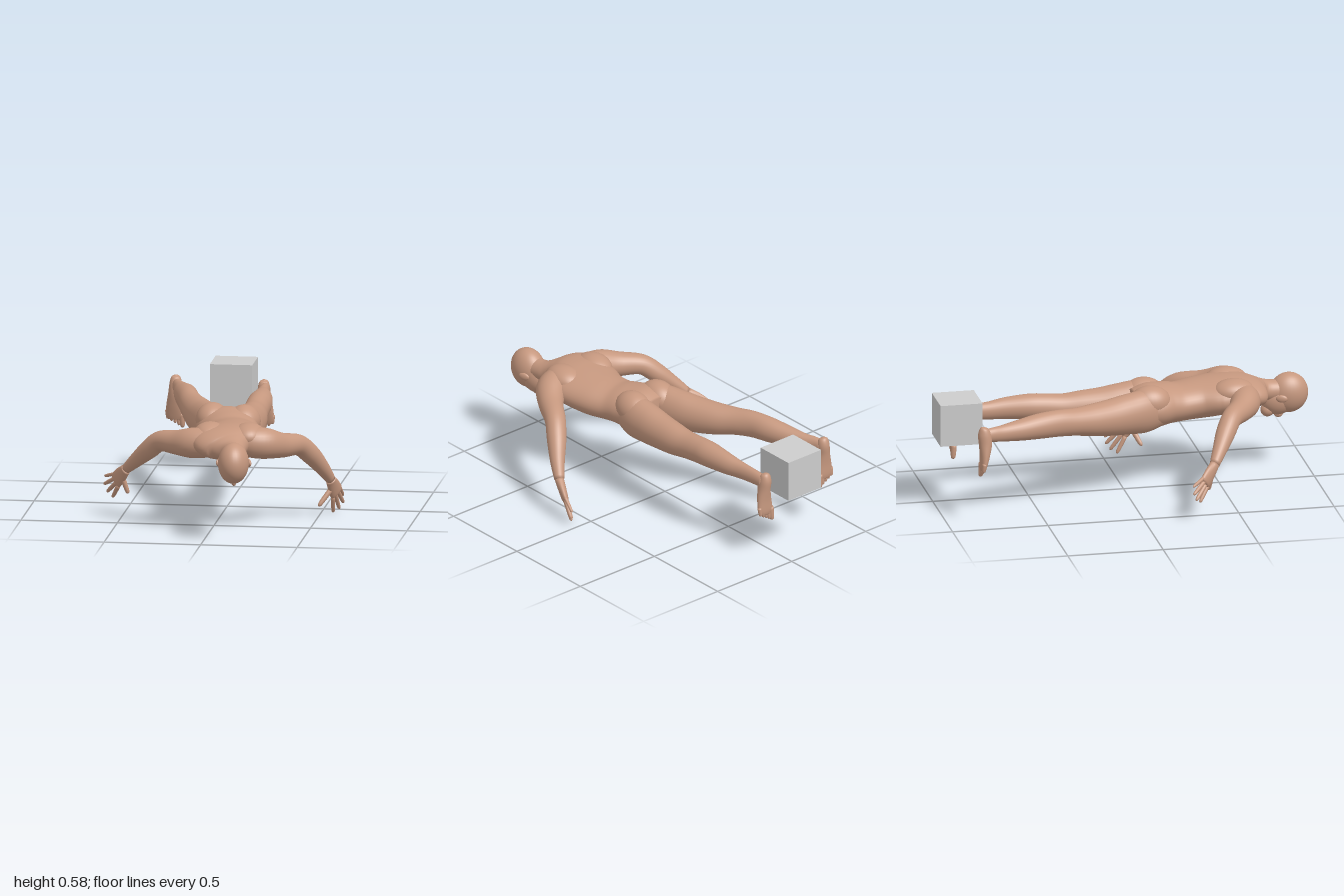
import * as THREE from 'three';

const skin = new THREE.MeshStandardMaterial({ color: 0xc6987f });
skin.name = 'skin';
const grey = new THREE.MeshStandardMaterial({ color: 0xcccccc });
grey.name = 'grey';

const V = (a) => new THREE.Vector3(...a);

// Smooth closed body through oval sections [x, y, z, radiusA, radiusB];
// radiusA lies along the given side direction.
function loft(sections, side = [1, 0, 0], sides = 28, steps = 6) {
  const centres = new THREE.CatmullRomCurve3(sections.map((s) => V(s.slice(0, 3))), false, 'catmullrom');
  const radii = new THREE.CatmullRomCurve3(
    sections.map((s) => V([s[3], s[4] ?? s[3], 0])), false, 'catmullrom');
  const rows = (sections.length - 1) * steps;
  const pos = [], index = [];
  for (let i = 0; i <= rows; i++) {
    const c = centres.getPoint(i / rows), r = radii.getPoint(i / rows);
    const t = centres.getTangent(i / rows);
    const b = new THREE.Vector3().crossVectors(t, V(side)).normalize();
    const a = new THREE.Vector3().crossVectors(b, t);
    for (let j = 0; j < sides; j++) {
      const q = (j / sides) * Math.PI * 2;
      const p = c.clone().addScaledVector(a, Math.cos(q) * r.x).addScaledVector(b, Math.sin(q) * r.y);
      pos.push(p.x, p.y, p.z);
    }
  }
  for (let i = 0; i < rows; i++) {
    for (let j = 0; j < sides; j++) {
      const k = (j + 1) % sides, m = i * sides, n = m + sides;
      index.push(m + j, m + k, n + j, m + k, n + k, n + j);
    }
  }
  // End caps
  const last = rows * sides, start = pos.length / 3;
  pos.push(...sections[0].slice(0, 3), ...sections.at(-1).slice(0, 3));
  for (let j = 0; j < sides; j++) {
    const k = (j + 1) % sides;
    index.push(start, k, j, start + 1, last + j, last + k);
  }
  const g = new THREE.BufferGeometry();
  g.setAttribute('position', new THREE.Float32BufferAttribute(pos, 3));
  g.setIndex(index);
  g.computeVertexNormals();
  return g;
}

function add(parent, name, geometry, material = skin) {
  const mesh = new THREE.Mesh(geometry, material);
  mesh.name = name;
  parent.add(mesh);
  return mesh;
}

function ellipsoid(parent, name, centre, radii) {
  const mesh = add(parent, name, new THREE.SphereGeometry(1, 32, 24));
  mesh.position.set(...centre);
  mesh.scale.set(...radii);
  return mesh;
}

// Slim digit with a rounded tip
function digit(parent, name, from, to, r, side) {
  const at = (t) => V(from).lerp(V(to), t).toArray();
  add(parent, name, loft([
    [...at(0), r], [...at(0.5), r * 0.95], [...at(0.85), r * 0.8], [...at(0.96), r * 0.5], [...at(1), 0.001],
  ], side, 10, 3));
}

// Palm, four fingers and a thumb; tips run from index to little finger
function hand(parent, name, wrist, knuckle, across, tips, thumbTip) {
  const g = new THREE.Group();
  g.name = name;
  parent.add(g);
  const mid = V(wrist).lerp(V(knuckle), 0.5).toArray();
  const end = V(wrist).lerp(V(knuckle), 1.12).toArray();
  add(g, 'palm', loft([
    [...wrist, 0.027, 0.024], [...mid, 0.04, 0.021], [...knuckle, 0.044, 0.017], [...end, 0.03, 0.008],
  ], across, 18, 5));
  const dir = V(across).normalize();
  tips.forEach((tip, i) => {
    const base = V(knuckle).addScaledVector(dir, -0.033 + i * 0.022).toArray();
    digit(g, 'finger', base, tip, i === 3 ? 0.0095 : 0.0115, across);
  });
  const root = V(mid).addScaledVector(dir, -0.02).toArray();
  digit(g, 'thumb', root, thumbTip, 0.014, across);
}

// Foot hanging down, sole to the rear; inner = x direction of the big toe
function foot(parent, name, x, y, z, inner) {
  const g = new THREE.Group();
  g.name = name;
  parent.add(g);
  const out = -inner;
  add(g, 'footBody', loft([
    [x, y + 0.042, z - 0.004, 0.006, 0.006],
    [x, y + 0.032, z - 0.005, 0.023, 0.022],
    [x, y, z - 0.002, 0.032, 0.034],
    [x + out * 0.004, y - 0.05, z + 0.002, 0.034, 0.034],
    [x + out * 0.006, y - 0.11, z - 0.002, 0.042, 0.026],
    [x + out * 0.006, y - 0.165, z - 0.01, 0.046, 0.018],
    [x + out * 0.006, y - 0.19, z - 0.012, 0.036, 0.012],
  ], [1, 0, 0], 24, 5));
  for (let i = 0; i < 5; i++) {
    const tx = x + out * 0.006 + inner * (0.036 - i * 0.019);
    digit(g, 'toe', [tx, y - 0.16 + i * 0.004, z - 0.011],
      [tx + inner * 0.004, y - 0.235 + i * 0.011, z - 0.016], i ? 0.0105 : 0.015, [1, 0, 0]);
  }
}

export function createModel() {
  const model = new THREE.Group();
  model.name = 'proneFigureWithCube';
  const figure = new THREE.Group();
  figure.name = 'figure';
  model.add(figure);

  // Torso and neck
  add(figure, 'torso', loft([
    [0.015, 0.435, 0.05, 0.13, 0.09], [0.02, 0.44, 0.13, 0.165, 0.112], [0.045, 0.44, 0.22, 0.15, 0.105],
    [0.065, 0.435, 0.3, 0.145, 0.097], [0.09, 0.44, 0.4, 0.165, 0.1], [0.095, 0.45, 0.5, 0.19, 0.098],
    [0.09, 0.46, 0.58, 0.19, 0.092], [0.09, 0.465, 0.65, 0.18, 0.08], [0.115, 0.455, 0.7, 0.115, 0.068],
    [0.135, 0.445, 0.74, 0.066, 0.058], [0.145, 0.435, 0.78, 0.058, 0.056], [0.15, 0.43, 0.84, 0.055, 0.055],
  ], [1, 0, 0], 44));
  for (const [x, y] of [[-0.06, 0.482], [0.105, 0.475]]) {
    ellipsoid(figure, 'buttock', [x, y, 0.125], [0.085, 0.086, 0.11]);
  }
  for (const x of [-0.01, 0.19]) ellipsoid(figure, 'shoulderBlade', [x, 0.495, 0.575], [0.085, 0.064, 0.11]);

  // Head, face down
  const head = new THREE.Group();
  head.name = 'head';
  figure.add(head);
  ellipsoid(head, 'skull', [0.156, 0.413, 0.898], [0.079, 0.106, 0.101]);
  ellipsoid(head, 'face', [0.153, 0.383, 0.84], [0.065, 0.084, 0.09]);
  ellipsoid(head, 'chin', [0.15, 0.328, 0.785], [0.036, 0.036, 0.036]);
  ellipsoid(head, 'nose', [0.151, 0.303, 0.843], [0.013, 0.02, 0.024]);
  for (const s of [-1, 1]) {
    ellipsoid(head, 'ear', [0.152 + s * 0.077, 0.405, 0.845], [0.011, 0.02, 0.03]).rotation.y = s * 0.35;
  }

  // Legs
  add(figure, 'leftLeg', loft([
    [0.1, 0.44, 0.2, 0.07, 0.085], [0.105, 0.435, 0.1, 0.088, 0.112], [0.105, 0.43, 0, 0.088, 0.106],
    [0.105, 0.426, -0.1, 0.083, 0.094], [0.105, 0.426, -0.2, 0.076, 0.085], [0.102, 0.43, -0.3, 0.066, 0.072],
    [0.102, 0.44, -0.4, 0.064, 0.069], [0.103, 0.446, -0.48, 0.064, 0.066], [0.1, 0.446, -0.6, 0.051, 0.057],
    [0.088, 0.443, -0.7, 0.036, 0.046], [0.082, 0.443, -0.8, 0.028, 0.04], [0.078, 0.44, -0.87, 0.026, 0.036],
  ]));
  add(figure, 'rightLeg', loft([
    [-0.05, 0.44, 0.2, 0.065, 0.085], [-0.075, 0.44, 0.1, 0.083, 0.112], [-0.105, 0.44, 0, 0.088, 0.106],
    [-0.14, 0.44, -0.1, 0.086, 0.095], [-0.178, 0.446, -0.2, 0.08, 0.084], [-0.22, 0.457, -0.3, 0.067, 0.072],
    [-0.255, 0.467, -0.4, 0.059, 0.07], [-0.28, 0.467, -0.5, 0.06, 0.066], [-0.308, 0.463, -0.6, 0.052, 0.056],
    [-0.338, 0.462, -0.7, 0.036, 0.044], [-0.36, 0.465, -0.76, 0.028, 0.038], [-0.37, 0.465, -0.8, 0.025, 0.034],
  ]));
  foot(figure, 'leftFoot', 0.07, 0.447, -0.87, -1);
  foot(figure, 'rightFoot', -0.378, 0.473, -0.805, 1);

  // Arms
  add(figure, 'leftArm', loft([
    [0.14, 0.47, 0.61, 0.06], [0.2, 0.465, 0.605, 0.078], [0.275, 0.455, 0.575, 0.08], [0.35, 0.43, 0.49, 0.064],
    [0.42, 0.41, 0.375, 0.054], [0.475, 0.345, 0.3, 0.05], [0.525, 0.265, 0.235, 0.038], [0.56, 0.195, 0.18, 0.026],
  ], [0, 1, 0.3]));
  add(figure, 'rightArm', loft([
    [0.04, 0.465, 0.63, 0.06], [-0.02, 0.46, 0.63, 0.075], [-0.1, 0.455, 0.615, 0.078], [-0.18, 0.447, 0.575, 0.064],
    [-0.275, 0.438, 0.51, 0.053], [-0.34, 0.385, 0.465, 0.05], [-0.41, 0.32, 0.42, 0.038], [-0.47, 0.262, 0.38, 0.026],
  ], [0, 1, 0.3]));

  // Hands
  hand(figure, 'leftHand', [0.56, 0.195, 0.18], [0.58, 0.115, 0.11], [0.45, 0.74, -0.5],
    [[0.56, 0.002, 0.08], [0.588, 0.014, 0.05], [0.607, 0.042, 0.03], [0.605, 0.08, 0.025]],
    [0.5, 0.055, 0.2]);
  hand(figure, 'rightHand', [-0.47, 0.262, 0.38], [-0.53, 0.19, 0.32], [-0.38, 0.84, -0.38],
    [[-0.555, 0.09, 0.285], [-0.588, 0.112, 0.258], [-0.605, 0.15, 0.242], [-0.602, 0.192, 0.24]],
    [-0.465, 0.125, 0.348]);

  // Cube beside the feet
  add(model, 'cube', new THREE.BoxGeometry(0.22, 0.22, 0.22), grey).position.set(-0.088, 0.472, -0.89);
  return model;
}
